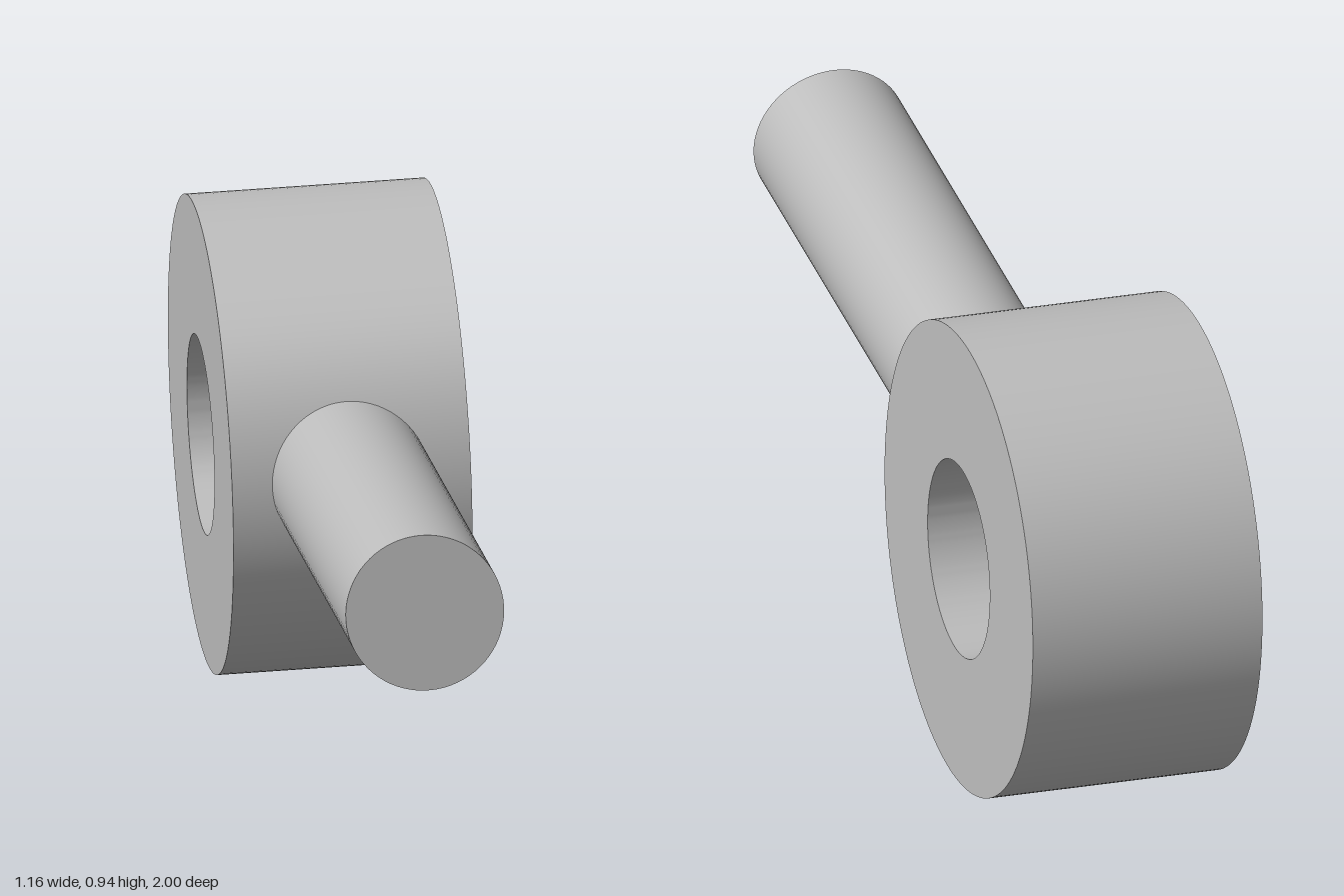
import * as THREE from 'three';
import { toCreasedNormals } from 'three/addons/utils/BufferGeometryUtils.js';

const RING_RADIUS = 0.465, HOLE_RADIUS = 0.195, RING_WIDTH = 0.465;
const ROD_RADIUS = 0.154;

export function createModel() {
  const group = new THREE.Group();
  const metal = new THREE.MeshStandardMaterial({ color: 0xbcbcbc });
  metal.name = 'plain grey';

  const ringCentre = new THREE.Vector3(0.18, 0.474, -0.483);
  const ringAxis = new THREE.Vector3(0.426, 0.0135, 0.185).normalize();
  const rodEnd = new THREE.Vector3(-0.44, 0.575, 0.935);

  // Thick ring with a round through-hole, extruded along its axis
  const outline = new THREE.Shape().absarc(0, 0, RING_RADIUS, 0, Math.PI * 2, false);
  outline.holes.push(new THREE.Path().absarc(0, 0, HOLE_RADIUS, 0, Math.PI * 2, true));
  const ringGeometry = new THREE.ExtrudeGeometry(outline, {
    depth: RING_WIDTH, bevelEnabled: false, curveSegments: 72,
  });
  ringGeometry.translate(0, 0, -RING_WIDTH / 2);
  const ring = new THREE.Mesh(toCreasedNormals(ringGeometry, 0.5), metal);
  ring.name = 'ring';
  ring.position.copy(ringCentre);
  ring.quaternion.setFromUnitVectors(new THREE.Vector3(0, 0, 1), ringAxis);
  group.add(ring);

  // Round rod, radial to the ring and sunk into its wall short of the hole
  const direction = rodEnd.clone().sub(ringCentre).normalize();
  const rodStart = ringCentre.clone().addScaledVector(direction, 0.38);
  const rod = new THREE.Mesh(
    new THREE.CylinderGeometry(ROD_RADIUS, ROD_RADIUS, rodStart.distanceTo(rodEnd), 72), metal);
  rod.name = 'rod';
  rod.position.copy(rodStart).lerp(rodEnd, 0.5);
  rod.quaternion.setFromUnitVectors(new THREE.Vector3(0, 1, 0), direction);
  group.add(rod);

  return group;
}
